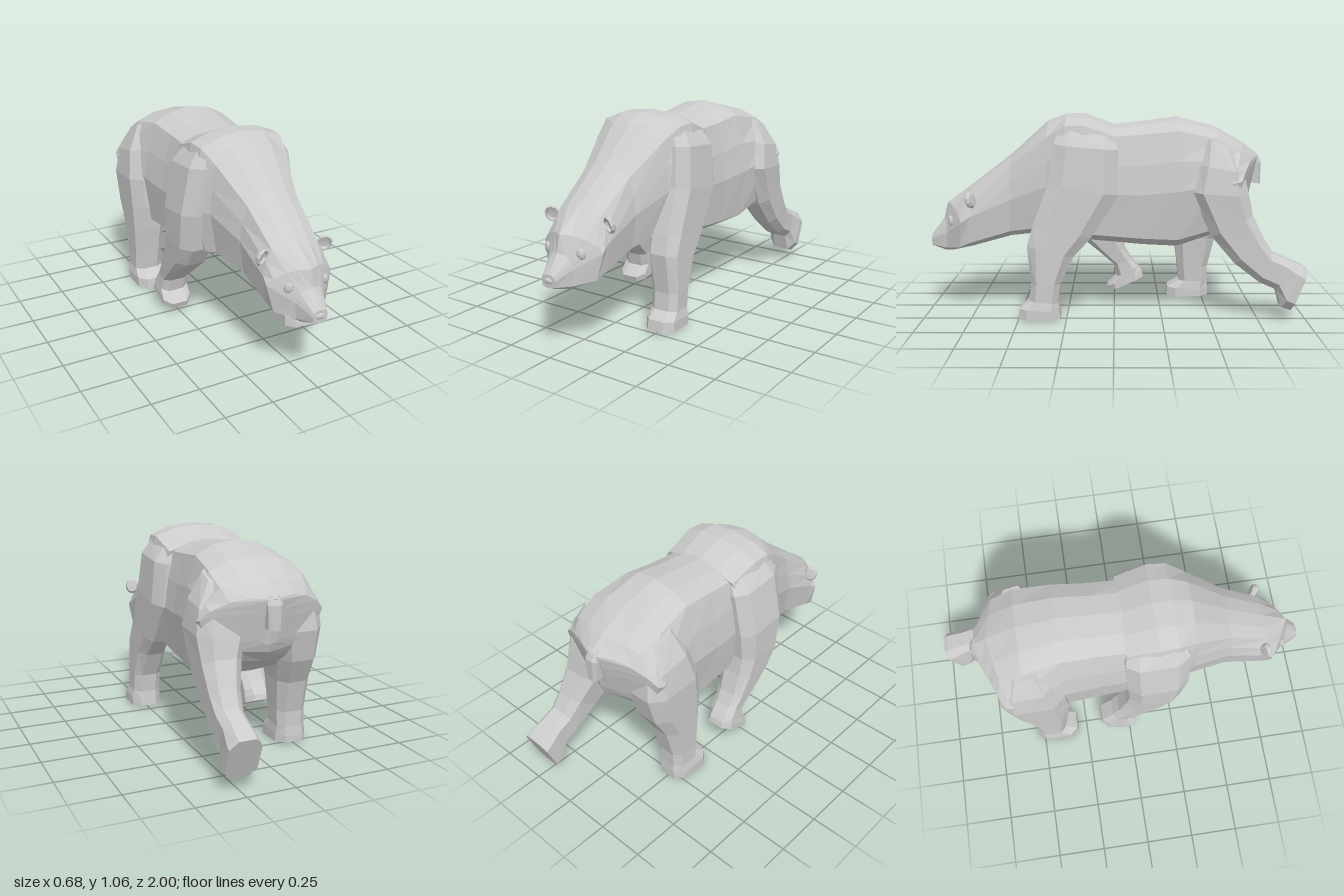
import * as THREE from 'three';

const grey = new THREE.MeshStandardMaterial({ color: 0xcccccc, flatShading: true });

// Skin a list of equal-length rings of Vector3, with a fan at both ends; faces are turned outwards.
function loft(rings) {
  const tris = [];
  const n = rings[0].length;
  for (let i = 0; i < rings.length - 1; i++) {
    for (let j = 0; j < n; j++) {
      const k = (j + 1) % n;
      const a = rings[i][j], b = rings[i][k], c = rings[i + 1][k], d = rings[i + 1][j];
      tris.push([a, b, c], [a, c, d]);
    }
  }
  const cap = (ring, flip) => {
    const mid = ring.reduce((s, p) => s.add(p), new THREE.Vector3()).divideScalar(n);
    ring.forEach((p, j) => {
      const q = ring[(j + 1) % n];
      tris.push(flip ? [mid, q, p] : [mid, p, q]);
    });
  };
  cap(rings[0], true);
  cap(rings[rings.length - 1], false);
  let volume = 0;
  for (const [a, b, c] of tris) volume += a.dot(b.clone().cross(c));
  const points = tris.flatMap(([a, b, c]) => (volume < 0 ? [a, c, b] : [a, b, c]));
  const geo = new THREE.BufferGeometry().setFromPoints(points);
  geo.computeVertexNormals();
  return geo;
}

// Symmetric trunk ring: z, top y, back edge x and y, flank x and y, belly half width, belly y,
// then how far z shifts per unit sideways (bow) and per unit down (lean).
function trunkRing([z, yt, wt, ys, wm, ym, wb, yb, bow = 0, lean = 0]) {
  const half = [
    [0, yt],
    [wt * 0.55, yt - (yt - ys) * 0.25],
    [wt, ys],
    [wt * 0.35 + wm * 0.65, ys * 0.5 + ym * 0.5],
    [wm, ym],
    [wm * 0.6 + wb * 0.4, ym * 0.2 + yb * 0.8],
    [wb * 0.8, yb + (ym - yb) * 0.05],
    [0, yb],
  ];
  const point = (x, y) => new THREE.Vector3(x, y, z + bow * Math.abs(x) + lean * (yt - y));
  const left = half.map(([x, y]) => point(x, y));
  const right = half.slice(1, -1).map(([x, y]) => point(-x, y)).reverse();
  return [...left, ...right];
}

// Chamfered box outline, shared by all leg rings
const corners = [[1, 0.55], [0.6, 1], [-0.6, 1], [-1, 0.55], [-1, -0.55], [-0.6, -1], [0.6, -1], [1, -0.55]];

// Eight-sided leg ring: front z and y, back z and y, inner x, outer x.
function legRing([zf, yf, zb, yb, xi, xo], side) {
  return corners.map(([u, v]) => new THREE.Vector3(
    side * THREE.MathUtils.lerp(xi, xo, (v + 1) / 2),
    THREE.MathUtils.lerp(yb, yf, (u + 1) / 2),
    THREE.MathUtils.lerp(zb, zf, (u + 1) / 2)
  ));
}

const hindTrunk = [
  [-0.775, 0.84, 0.03, 0.83, 0.05, 0.74, 0.04, 0.61, 0.25, 0.22],
  [-0.765, 0.85, 0.2, 0.825, 0.325, 0.74, 0.2, 0.57, 0.3, 0.2],
  [-0.69, 0.91, 0.22, 0.88, 0.33, 0.73, 0.2, 0.51, 0.18, 0.1],
  [-0.53, 1.0, 0.23, 0.945, 0.315, 0.72, 0.2, 0.43],
  [-0.33, 1.05, 0.21, 0.985, 0.28, 0.68, 0.2, 0.36],
  [-0.15, 1.025, 0.2, 0.965, 0.26, 0.66, 0.2, 0.37],
  [0.08, 1.0, 0.2, 0.95, 0.25, 0.66, 0.18, 0.4, 0, 0.2],
];
const foreTrunk = [
  [-0.02, 1.0, 0.22, 0.955, 0.285, 0.67, 0.16, 0.42, 0, 0.28],
  [0.15, 1.065, 0.235, 1.015, 0.295, 0.69, 0.16, 0.41, 0, 0.14],
  [0.25, 1.065, 0.23, 1.01, 0.28, 0.69, 0.15, 0.42, 0, 0.08],
  [0.35, 1.03, 0.2, 0.95, 0.23, 0.7, 0.14, 0.43],
  [0.55, 0.85, 0.14, 0.8, 0.175, 0.62, 0.12, 0.41],
  [0.76, 0.69, 0.125, 0.65, 0.172, 0.53, 0.13, 0.355],
  [0.905, 0.585, 0.1, 0.565, 0.18, 0.5, 0.1, 0.33, -0.55],
  [0.925, 0.5, 0.06, 0.48, 0.08, 0.43, 0.065, 0.325, -0.3],
  [0.99, 0.415, 0.035, 0.405, 0.04, 0.385, 0.03, 0.35],
];
const legs = {
  leftForeleg: [1, [
    [0.28, 1.0, 0.0, 0.955, 0.08, 0.235],
    [0.31, 0.92, -0.02, 0.89, 0.1, 0.285],
    [0.34, 0.72, -0.02, 0.66, 0.12, 0.305],
    [0.42, 0.5, 0.12, 0.44, 0.14, 0.31],
    [0.45, 0.4, 0.21, 0.34, 0.15, 0.315],
    [0.43, 0.2, 0.28, 0.2, 0.165, 0.32],
    [0.44, 0.11, 0.29, 0.1, 0.17, 0.32],
    [0.49, 0.07, 0.285, 0.06, 0.165, 0.33],
    [0.5, 0.015, 0.28, 0.015, 0.165, 0.33],
  ]],
  rightForeleg: [-1, [
    [0.28, 1.0, 0.0, 0.955, 0.08, 0.235],
    [0.31, 0.92, -0.02, 0.89, 0.1, 0.29],
    [0.31, 0.68, -0.01, 0.65, 0.12, 0.34],
    [0.28, 0.48, 0.0, 0.5, 0.14, 0.34],
    [0.21, 0.37, -0.02, 0.4, 0.15, 0.335],
    [0.08, 0.26, -0.06, 0.28, 0.165, 0.33],
    [0.0, 0.19, -0.095, 0.22, 0.175, 0.325],
    [-0.015, 0.12, -0.13, 0.18, 0.175, 0.33],
    [0.04, 0.065, -0.155, 0.15, 0.175, 0.335],
    [0.03, 0.035, -0.165, 0.12, 0.175, 0.335],
  ]],
  leftHindLeg: [1, [
    [-0.47, 0.95, -0.6, 0.9, 0.08, 0.25],
    [-0.43, 0.82, -0.66, 0.78, 0.08, 0.315],
    [-0.39, 0.68, -0.69, 0.66, 0.08, 0.335],
    [-0.5, 0.45, -0.71, 0.56, 0.12, 0.325],
    [-0.62, 0.31, -0.77, 0.44, 0.16, 0.32],
    [-0.75, 0.21, -0.82, 0.36, 0.175, 0.315],
    [-0.84, 0.17, -0.89, 0.33, 0.175, 0.315],
    [-0.865, 0.08, -0.98, 0.29, 0.165, 0.33],
    [-0.915, 0.062, -1.0, 0.275, 0.165, 0.33],
  ]],
  rightHindLeg: [-1, [
    [-0.45, 0.95, -0.6, 0.9, 0.08, 0.25],
    [-0.39, 0.82, -0.66, 0.77, 0.08, 0.315],
    [-0.34, 0.66, -0.68, 0.64, 0.08, 0.34],
    [-0.33, 0.5, -0.64, 0.48, 0.12, 0.335],
    [-0.34, 0.36, -0.57, 0.35, 0.15, 0.33],
    [-0.36, 0.2, -0.53, 0.18, 0.165, 0.325],
    [-0.37, 0.1, -0.53, 0.1, 0.17, 0.325],
    [-0.305, 0.06, -0.535, 0.05, 0.165, 0.335],
    [-0.3, 0.005, -0.535, 0.015, 0.165, 0.335],
  ]],
};

export function createModel() {
  const model = new THREE.Group();
  model.name = 'bear';
  const add = (name, geometry) => {
    const mesh = new THREE.Mesh(geometry, grey);
    mesh.name = name;
    model.add(mesh);
    return mesh;
  };

  // Trunk in two overlapping halves; the fore half runs on into neck and head
  add('hindBody', loft(hindTrunk.map(trunkRing)));
  add('foreBodyAndHead', loft(foreTrunk.map(trunkRing)));

  // Four legs in mid-stride
  for (const [name, [side, rows]] of Object.entries(legs)) {
    add(name, loft(rows.map((row) => legRing(row, side))));
  }

  // Nose pad
  const nose = add('nose', new THREE.SphereGeometry(1, 8, 5));
  nose.scale.set(0.027, 0.016, 0.012);
  nose.position.set(0, 0.385, 0.988);

  // Cupped ears and eyes, mirrored
  const earProfile = [[0, -0.014], [0.03, -0.012], [0.039, 0.002], [0.036, 0.014], [0.028, 0.012], [0.024, 0], [0, -0.002]]
    .map(([r, y]) => new THREE.Vector2(r, y));
  for (const side of [1, -1]) {
    const label = side > 0 ? 'left' : 'right';
    const ear = add(label + 'Ear', new THREE.LatheGeometry(earProfile, 10));
    ear.scale.z = 1.15;
    ear.rotation.set(Math.PI / 2 + 0.25, 0, side * 0.4);
    ear.position.set(side * 0.176, 0.622, 0.75);
    const eye = add(label + 'Eye', new THREE.SphereGeometry(1, 8, 6));
    eye.scale.set(0.022, 0.028, 0.014);
    eye.rotation.set(0, side * 0.6, side * 0.25);
    eye.position.set(side * 0.102, 0.5, 0.873);
  }

  // Short tail hanging against the rump
  const tailRows = [
    [-0.7, 0.88, -0.765, 0.85, -0.03, 0.03],
    [-0.72, 0.8, -0.785, 0.81, -0.04, 0.04],
    [-0.72, 0.7, -0.785, 0.69, -0.035, 0.035],
  ];
  add('tail', loft(tailRows.map((row) => legRing(row, 1))));

  return model;
}
